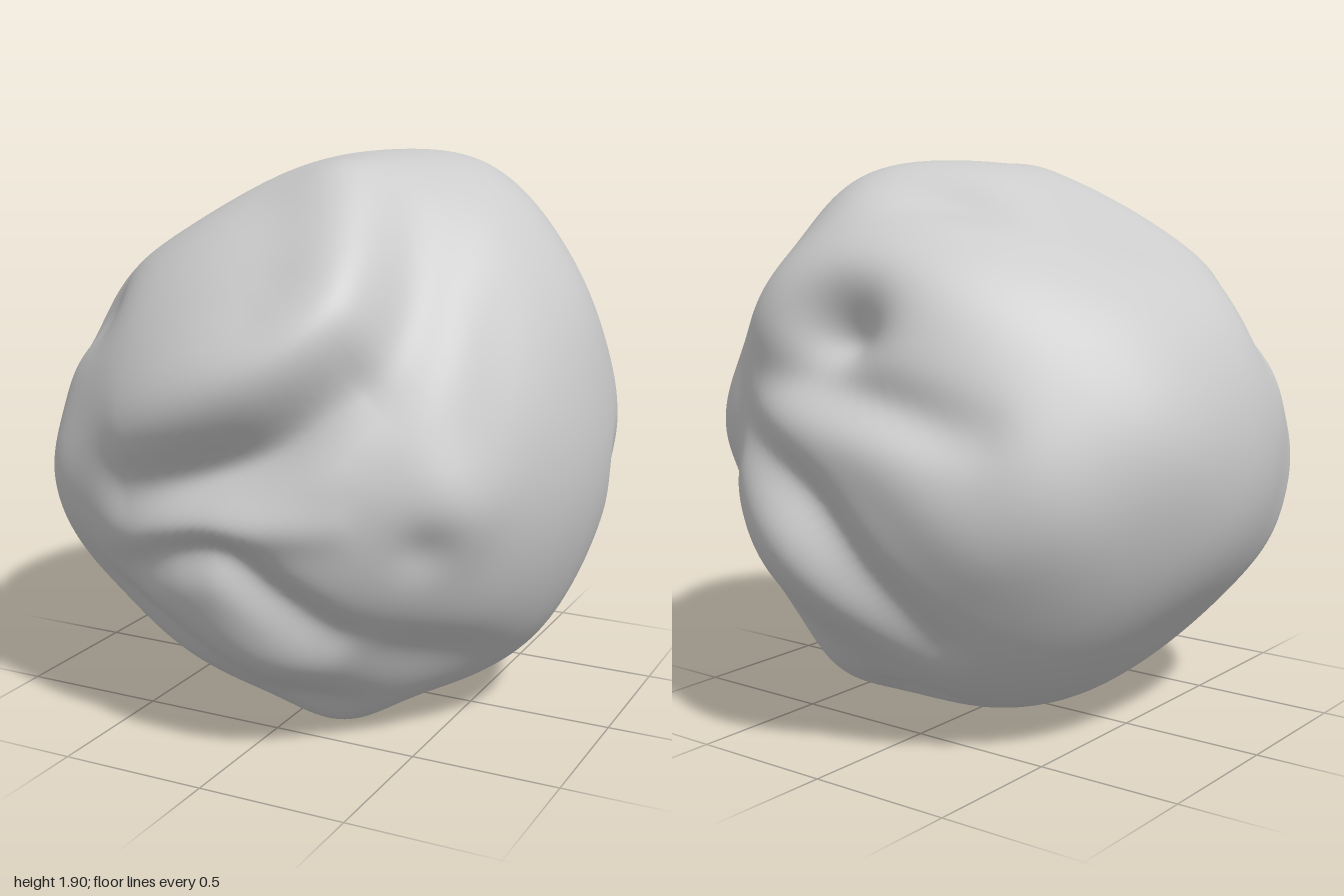
import * as THREE from 'three';
import { mergeVertices } from 'three/addons/utils/BufferGeometryUtils.js';

// Each stroke: [height, width, ...points], a soft ridge (+) or groove (-)
// following a curve of directions around the centre of the boulder.
const broadForms = [
  [-0.13, 0.4, [-0.5, 0.82, -0.2], [-0.5, 0.85, 0], [-0.5, 0.8, 0.25]], // sloping shoulder
  [-0.065, 0.4, [-0.65, -0.6, 0]],
  [0.075, 0.36, [0.57, 0.82, 0]],
  [0.025, 0.25, [0.86, 0.5, 0]],
  [0.04, 0.34, [0.66, -0.72, 0]],
  [0.03, 0.25, [-0.9, 0.1, -0.4]],
  [0.05, 0.28, [-0.65, -0.08, -0.75]],
  [0.045, 0.26, [0.74, 0.08, -0.67]],
  [0.05, 0.2, [-0.7, -0.08, 0.7]],
  [0.045, 0.22, [-0.72, -0.35, 0.6]],
  [0.045, 0.18, [0.72, -0.05, 0.68]],
  [0.05, 0.2, [0.19, 0.9, 0.38]],
  [0.065, 0.28, [0.33, 0.85, -0.4]],
  [0.07, 0.2, [0.2, -0.92, 0.4]],
];
const frontForms = [
  [0.085, 0.17, [0.25, 0.85, 0.45], [0.34, 0.57, 0.74], [0.24, 0.42, 0.88], [0, 0.3, 0.95], [-0.25, 0.16, 0.93]], // brow edge
  [-0.05, 0.15, [0.5, 0.8, 0.38], [0.55, 0.5, 0.65], [0.5, 0.18, 0.83]],
  [-0.13, 0.12, [0.42, 0.33, 0.83], [0.22, 0.14, 0.94], [-0.04, 0.02, 0.96], [-0.33, -0.07, 0.9]], // deep fold
  [0.03, 0.075, [-0.3, -0.24, 0.9], [0, -0.13, 0.93], [0.38, -0.1, 0.87]], // middle ridge
  [-0.065, 0.085, [-0.38, -0.36, 0.8], [-0.15, -0.25, 0.9], [0.03, -0.23, 0.92], [0.2, -0.36, 0.85], [0.34, -0.5, 0.75]],
  [0.045, 0.15, [-0.05, -0.5, 0.82], [0.1, -0.6, 0.78], [0.3, -0.62, 0.7]],
  [-0.03, 0.1, [0.08, -0.8, 0.55], [0.28, -0.82, 0.48]],
  [-0.035, 0.12, [-0.62, -0.38, 0.65], [-0.4, -0.52, 0.7], [-0.15, -0.62, 0.7]],
];
const sideForms = [
  [-0.06, 0.16, [-0.82, 0.35, 0.36], [-0.68, 0.42, 0.48], [-0.55, 0.42, 0.62]],
  [-0.025, 0.1, [0.64, -0.18, 0.72]],
  [-0.025, 0.09, [0.92, -0.04, -0.22], [0.88, -0.15, -0.32]],
  [-0.04, 0.15, [0.3, -0.48, 0.78], [0.58, -0.62, 0.42], [0.65, -0.7, 0.2]],
  [-0.02, 0.15, [0.72, 0.2, 0.5], [0.7, 0.6, 0.35]],
  [-0.035, 0.11, [0.52, 0.28, -0.8], [0.6, 0, -0.76], [0.73, -0.2, -0.63]],
];
const backForms = [
  [0.095, 0.25, [0.35, -0.18, -0.9], [0.14, -0.28, -0.95], [0, -0.4, -0.9]], // lower back bulge
  [0.055, 0.24, [-0.3, 0.6, -0.74], [0.05, 0.63, -0.77], [0.35, 0.58, -0.74]],
  [0.045, 0.24, [0.45, 0.5, -0.75]],
  [-0.13, 0.13, [-0.06, 0.45, -0.83], [0.14, 0.42, -0.84]], // hollow
  [-0.055, 0.1, [0.38, 0.27, -0.82], [-0.05, 0.25, -0.9], [-0.45, 0.15, -0.81]],
  [0.035, 0.15, [0.2, 0.16, -0.92], [-0.2, 0.08, -0.95], [-0.45, -0.2, -0.85]],
  [-0.08, 0.1, [0.45, 0.08, -0.85], [0.08, -0.09, -0.95], [-0.12, -0.35, -0.9], [-0.25, -0.55, -0.77]],
  [0.05, 0.2, [0.3, -0.78, -0.58]],
  [-0.035, 0.09, [-0.06, -0.84, -0.44], [0.1, -0.78, -0.55]],
  [-0.05, 0.13, [0.08, 0.84, -0.45], [-0.25, 0.8, -0.38]],
];

// Returns a function giving the stroke's height in any direction; ends fade out
function makeStroke([height, width, ...points]) {
  const line = points.map(p => new THREE.Vector3(...p).normalize());
  let samples = [{ at: line[0], fade: 1 }];
  if (line.length > 1) {
    samples = new THREE.CatmullRomCurve3(line).getSpacedPoints(36).map((p, i) => (
      { at: p.normalize(), fade: 0.4 + 0.6 * Math.sin(Math.PI * i / 36) }));
  }
  return dir => {
    let best = 0;
    for (const s of samples) {
      best = Math.max(best, s.fade * Math.exp(-s.at.distanceToSquared(dir) / (width * width)));
    }
    return height * best;
  };
}

export function createModel() {
  const group = new THREE.Group();
  group.name = 'boulder';
  const stone = new THREE.MeshStandardMaterial({ color: 0xcccccc });
  stone.name = 'grey stone';

  // Even sphere, welded so that its normals are smooth
  let geometry = new THREE.IcosahedronGeometry(1, 56);
  geometry.deleteAttribute('uv');
  geometry.deleteAttribute('normal');
  geometry = mergeVertices(geometry, 1e-5);

  // Push every point in or out by the sum of the strokes
  const strokes = [...broadForms, ...frontForms, ...sideForms, ...backForms].map(makeStroke);
  const position = geometry.attributes.position;
  const dir = new THREE.Vector3();
  for (let i = 0; i < position.count; i++) {
    dir.fromBufferAttribute(position, i).normalize();
    const radius = strokes.reduce((sum, stroke) => sum + stroke(dir), 0.95);
    position.setXYZ(i, dir.x * radius, dir.y * radius, dir.z * radius);
  }

  // Centre it and rest it on the ground
  geometry.center();
  geometry.computeBoundingBox();
  geometry.translate(0, -geometry.boundingBox.min.y, 0);
  geometry.computeVertexNormals();

  const rock = new THREE.Mesh(geometry, stone);
  rock.name = 'rock';
  group.add(rock);
  return group;
}
